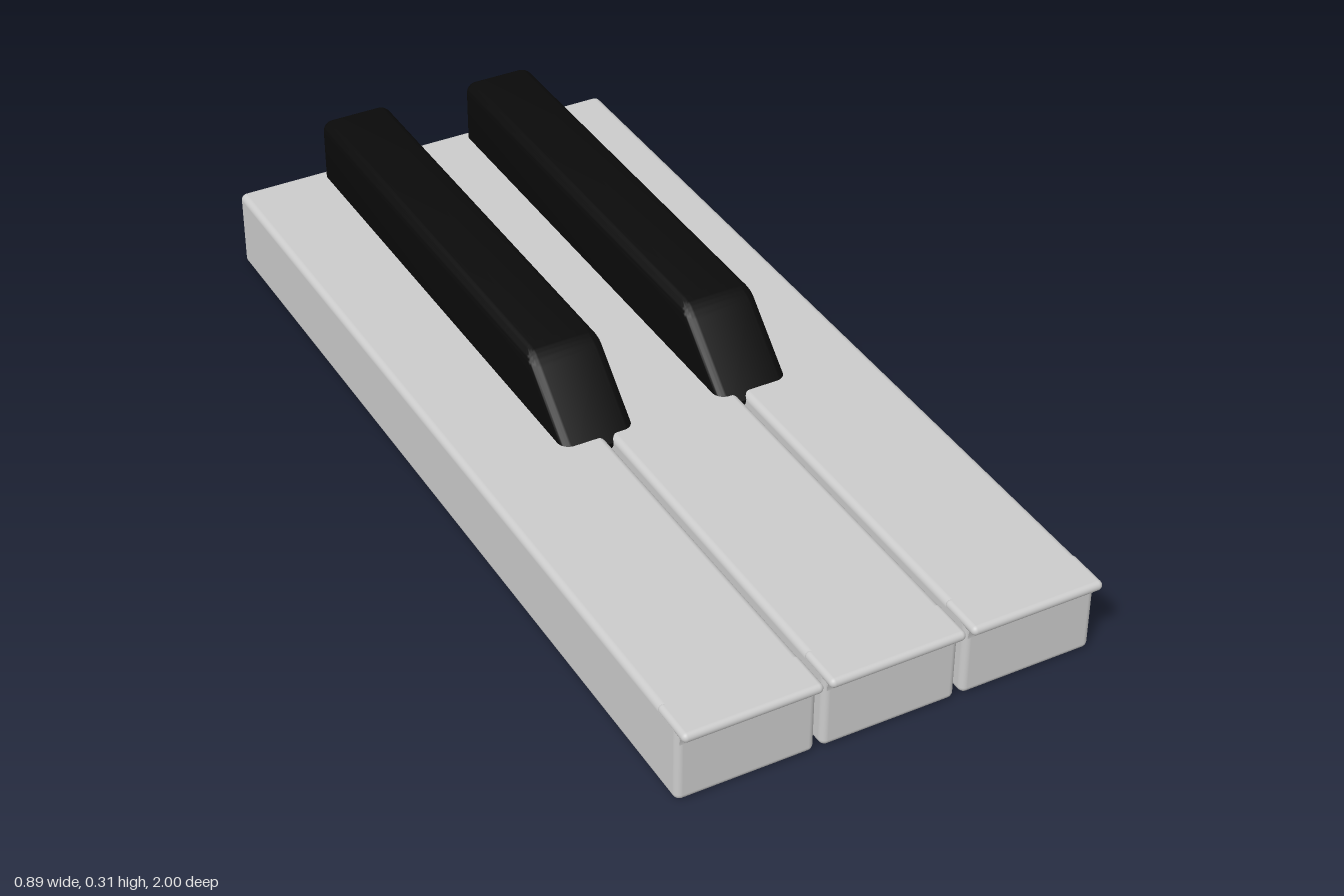
import * as THREE from 'three';
import { RoundedBoxGeometry } from 'three/addons/geometries/RoundedBoxGeometry.js';
import { toCreasedNormals } from 'three/addons/utils/BufferGeometryUtils.js';

const KEY_WIDTH = 0.287;
const KEY_TOP = 0.177;
const white = new THREE.MeshStandardMaterial({ color: 0xcccccc });
const black = new THREE.MeshStandardMaterial({ color: 0x0a0a0a });

// Rounded box given by its y and z limits, centred on x
function roundedBlock(width, y0, y1, z0, z1, radius) {
  const g = new RoundedBoxGeometry(width, y1 - y0, z1 - z0, 5, radius);
  return g.translate(0, (y0 + y1) / 2, (z0 + z1) / 2);
}

function addMesh(parent, name, geometry, material) {
  const mesh = new THREE.Mesh(geometry, material);
  mesh.name = name;
  parent.add(mesh);
}

// Concave fillet joining the front face to the underside of the lip
function coveGeometry() {
  const s = new THREE.Shape();
  s.moveTo(-0.955, 0.135);
  s.lineTo(-0.975, 0.135);
  s.quadraticCurveTo(-0.975, 0.158, -0.988, 0.162);
  s.lineTo(-0.955, 0.165);
  s.closePath();
  const width = KEY_WIDTH - 0.012;
  const g = new THREE.ExtrudeGeometry(s, { depth: width, bevelEnabled: false, curveSegments: 6 });
  g.translate(0, 0, -width / 2).rotateY(Math.PI / 2);
  return toCreasedNormals(g, 0.6);
}

// Long white key with a thin lip overhanging its front
function whiteKey(x) {
  const key = new THREE.Group();
  key.name = 'whiteKey';
  addMesh(key, 'keyBody', roundedBlock(KEY_WIDTH, 0, KEY_TOP, -1, 0.975, 0.014), white);
  addMesh(key, 'frontLip', roundedBlock(KEY_WIDTH, 0.156, KEY_TOP, 0.9, 1, 0.0104), white);
  addMesh(key, 'lipCove', coveGeometry(), white);
  key.position.x = x;
  return key;
}

// Raised black key: the front of a rounded block is leaned back into a slope
function blackKeyGeometry() {
  const g = roundedBlock(0.16, 0.14, 0.315, -0.99, 0.18, 0.025);
  const p = g.attributes.position;
  for (let i = 0; i < p.count; i++) {
    if (p.getZ(i) > 0) {
      const rise = Math.max(0, p.getY(i) - 0.175) / 0.14;
      p.setZ(i, p.getZ(i) - 0.165 * rise);
    }
  }
  return toCreasedNormals(g, 0.6);
}

export function createModel() {
  const model = new THREE.Group();
  model.name = 'pianoKeys';
  for (const x of [-0.3, 0, 0.3]) model.add(whiteKey(x));

  const geometry = blackKeyGeometry();
  for (const x of [-0.168, 0.18]) {
    const key = new THREE.Mesh(geometry, black);
    key.name = 'blackKey';
    key.position.x = x;
    model.add(key);
  }
  return model;
}
